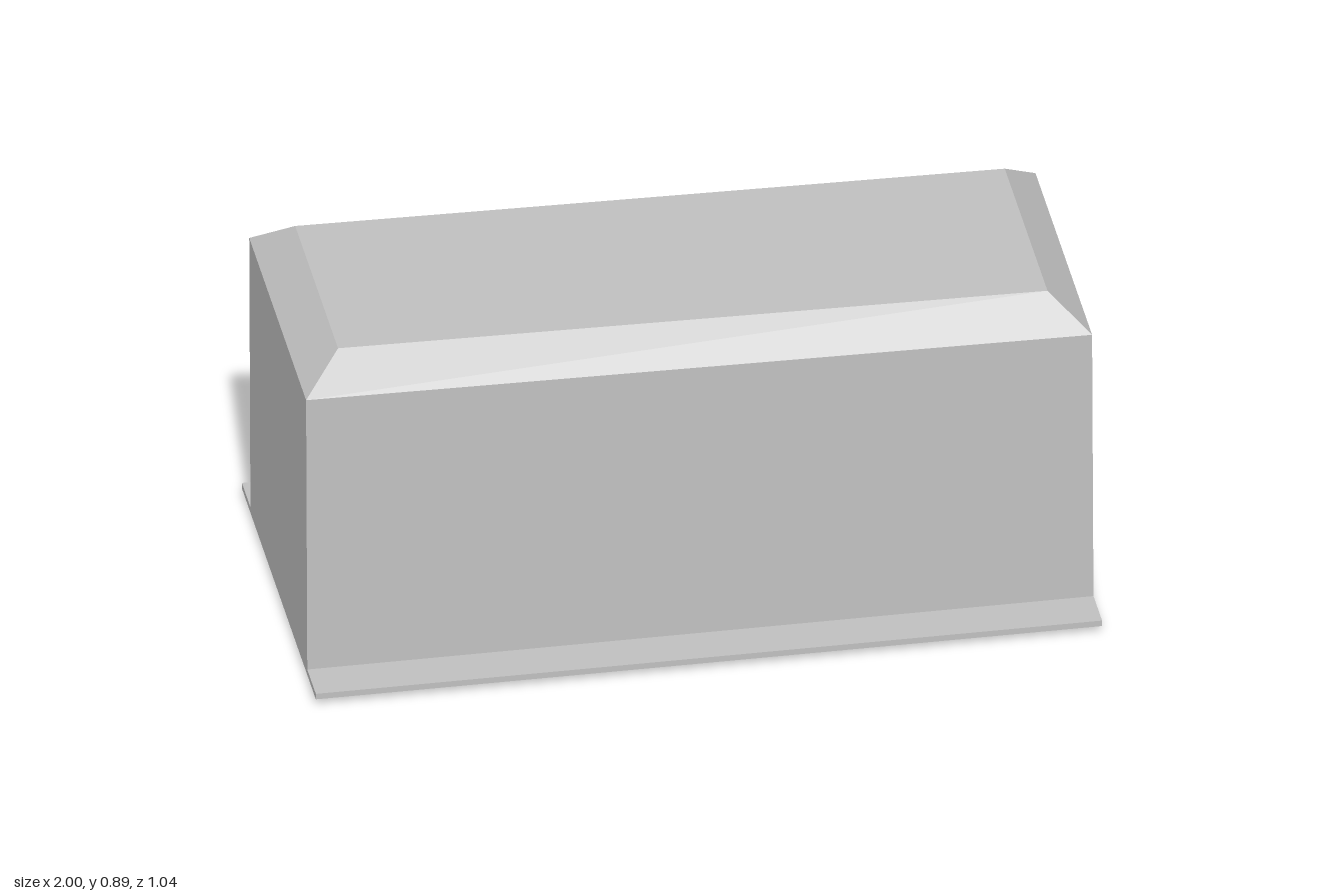
import * as THREE from 'three';

// Closed solid from stacked four-corner loops, listed bottom to top.
// Each loop runs front right, front left, back left, back right.
function loft(loops) {
  const pos = [];
  const tri = (a, b, c) => pos.push(...a, ...b, ...c);
  const quad = (a, b, c, d) => { tri(a, b, c); tri(a, c, d); };
  for (let i = 0; i < loops.length - 1; i++) {
    const lo = loops[i], hi = loops[i + 1];
    for (let k = 0; k < 4; k++) {
      const n = (k + 1) % 4;
      quad(lo[k], lo[n], hi[n], hi[k]);
    }
  }
  const [a, b, c, d] = loops[0];
  quad(d, c, b, a);
  quad(...loops[loops.length - 1]);
  const geo = new THREE.BufferGeometry();
  geo.setAttribute('position', new THREE.Float32BufferAttribute(pos, 3));
  geo.computeVertexNormals();
  return geo;
}

export function createModel() {
  const model = new THREE.Group();
  model.name = 'box';
  const grey = new THREE.MeshStandardMaterial({ color: 0xc0c0c0 });
  grey.name = 'light grey';

  // Slightly leaning body with a tapered roof
  const body = new THREE.Mesh(loft([
    [[-1, 0.03, 0.4], [1, 0.002, 0.4], [1, 0, -0.4], [-1, 0.03, -0.4]],
    [[-1, 0.81, 0.383], [1, 0.785, 0.38], [1, 0.785, -0.417], [-1, 0.81, -0.417]],
    [[-0.9, 0.89, 0.28], [0.9, 0.88, 0.305], [0.9, 0.88, -0.297], [-0.9, 0.89, -0.323]],
  ]), grey);
  body.name = 'body';
  model.add(body);

  // Thin base plate, wider than the body at front and back
  const plate = new THREE.Mesh(new THREE.BoxGeometry(2, 0.016, 1.04), grey);
  plate.name = 'basePlate';
  plate.position.y = 0.025;
  model.add(plate);

  return model;
}
